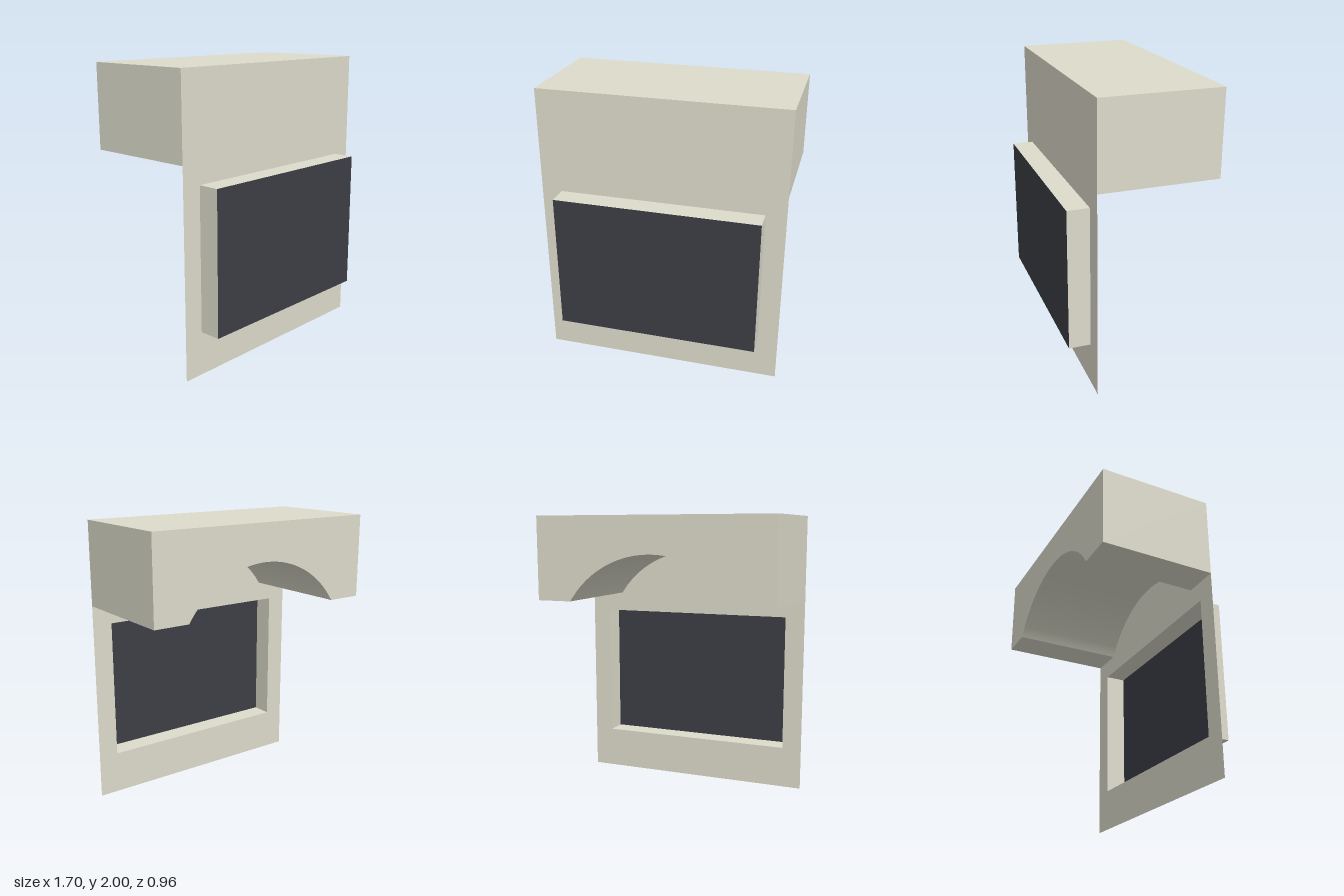
import * as THREE from 'three';
import { toCreasedNormals } from 'three/addons/utils/BufferGeometryUtils.js';

const W = 0.85;                         // half width of cabinet
const BACK = -0.48, PANEL = 0.33, FRONT = 0.48;
const SOFFIT = 1.42, TOP = 2;           // underside and top of the upper block
const ARCH = 0.6, RISE = 0.325;         // half span and rise of the arch
const R = (ARCH * ARCH + RISE * RISE) / (2 * RISE);
const CY = SOFFIT + RISE - R;
const A = Math.acos(ARCH / R);
const SX = 0.71, SY0 = 0.3, SY1 = 1.28; // screen bay

export function createModel() {
  const model = new THREE.Group();
  const shell = new THREE.MeshStandardMaterial({ color: 0xdddbcb, side: THREE.DoubleSide });
  const dark = new THREE.MeshStandardMaterial({ color: 0x3c3e46, side: THREE.DoubleSide });

  const add = (name, geometry, material, x = 0, y = 0, z = 0) => {
    const mesh = new THREE.Mesh(geometry, material);
    mesh.name = name;
    mesh.position.set(x, y, z);
    model.add(mesh);
    return mesh;
  };

  // Upper block with an arched underside
  const block = new THREE.Shape();
  block.moveTo(-W, SOFFIT);
  block.lineTo(-ARCH, SOFFIT);
  block.absarc(0, CY, R, Math.PI - A, A, true);
  block.lineTo(W, SOFFIT);
  block.lineTo(W, TOP);
  block.lineTo(-W, TOP);
  const blockGeometry = new THREE.ExtrudeGeometry(block, {
    depth: PANEL - BACK, bevelEnabled: false, curveSegments: 48,
  });
  add('upperBlock', toCreasedNormals(blockGeometry, Math.PI / 6), shell, 0, 0, BACK);

  // Thin front panel: fills the arch and surrounds the screen bay
  const panel = new THREE.Shape();
  panel.moveTo(-W, 0);
  panel.lineTo(W, 0);
  panel.lineTo(W, SOFFIT);
  panel.lineTo(ARCH, SOFFIT);
  panel.absarc(0, CY, R, A, Math.PI - A, false);
  panel.lineTo(-W, SOFFIT);
  const opening = new THREE.Path();
  opening.moveTo(-SX, SY0);
  opening.lineTo(-SX, SY1);
  opening.lineTo(SX, SY1);
  opening.lineTo(SX, SY0);
  panel.holes.push(opening);
  add('frontPanel', new THREE.ShapeGeometry(panel, 48), shell, 0, 0, PANEL);

  // Four thin walls of the projecting screen bay
  const depth = FRONT - PANEL, midZ = (FRONT + PANEL) / 2;
  const height = SY1 - SY0, midY = (SY0 + SY1) / 2;
  for (const side of [-1, 1]) {
    add(side > 0 ? 'bayWallLeft' : 'bayWallRight', new THREE.PlaneGeometry(depth, height),
      shell, side * SX, midY, midZ).rotation.y = side * Math.PI / 2;
    add(side > 0 ? 'bayWallTop' : 'bayWallBottom', new THREE.PlaneGeometry(2 * SX, depth),
      shell, 0, midY + side * height / 2, midZ).rotation.x = -side * Math.PI / 2;
  }

  // Screen closing the bay
  add('screen', new THREE.PlaneGeometry(2 * SX, height), dark, 0, midY, FRONT);

  return model;
}
